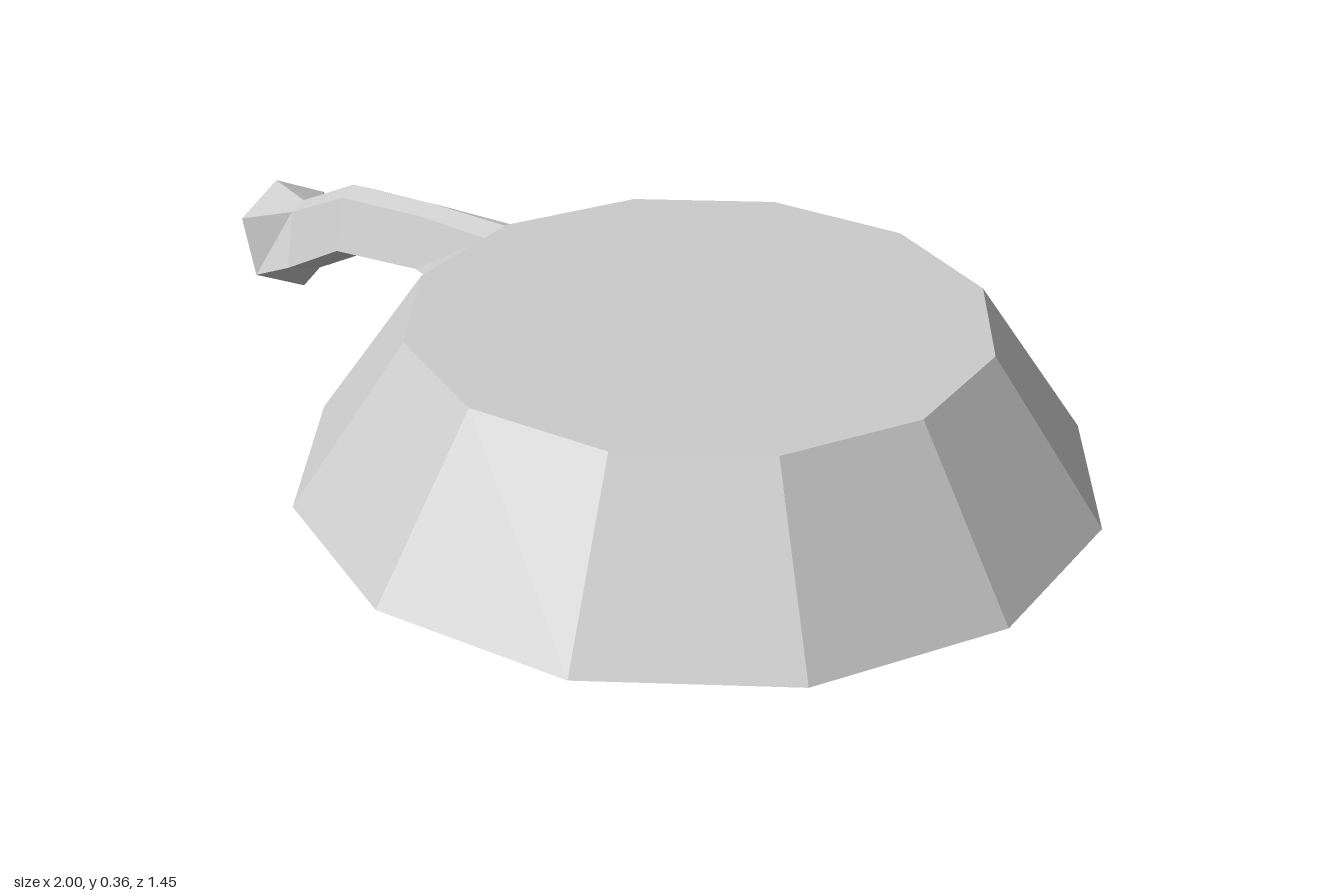
import * as THREE from 'three';

const material = new THREE.MeshStandardMaterial({ color: 0xcccccc, flatShading: true });

// Upturned bowl: closed wall profile turned in twelve flat sides
function createBowl() {
  const profile = [
    [0, 0.31], [0.51, 0.31], [0.675, 0.065],
    [0.725, 0.065], [0.52, 0.365], [0, 0.365],
  ].map(([r, y]) => new THREE.Vector2(r, y));
  const bowl = new THREE.Mesh(new THREE.LatheGeometry(profile, 12), material);
  bowl.name = 'bowl';
  bowl.position.x = 0.27;
  return bowl;
}

// Handle: six-sided sections joined from the flared tip to the bowl wall
function createHandle() {
  // each section: top [x, y], upper side [x, y, z], lower side [x, y, z], bottom [x, y]
  const sections = [
    [[-1.0, 0.22], [-0.98, 0.17, 0.105], [-0.94, 0.055, 0.105], [-0.92, 0.005]],
    [[-0.905, 0.205], [-0.9, 0.19, 0.035], [-0.87, 0.085, 0.072], [-0.86, 0.067]],
    [[-0.73, 0.295], [-0.72, 0.28, 0.035], [-0.7, 0.18, 0.07], [-0.69, 0.16]],
    [[-0.48, 0.335], [-0.47, 0.32, 0.033], [-0.45, 0.225, 0.065], [-0.44, 0.205]],
    [[-0.25, 0.362], [-0.26, 0.345, 0.042], [-0.33, 0.225, 0.085], [-0.35, 0.202]],
  ];
  const positions = [];
  for (const [top, upper, lower, bottom] of sections) {
    const mirror = ([x, y, z]) => [x, y, -z];
    positions.push(...top, 0, ...upper, ...lower, ...bottom, 0, ...mirror(lower), ...mirror(upper));
  }
  const index = [];
  const last = (sections.length - 1) * 6;
  for (let i = 0; i < last; i += 6) {
    for (let j = 0; j < 6; j++) {
      const a = i + j, b = i + (j + 1) % 6;
      index.push(a, b, a + 6, b, b + 6, a + 6);
    }
  }
  // end caps
  for (let j = 1; j < 5; j++) {
    index.push(0, j + 1, j, last, last + j, last + j + 1);
  }
  const geometry = new THREE.BufferGeometry();
  geometry.setAttribute('position', new THREE.Float32BufferAttribute(positions, 3));
  geometry.setIndex(index);
  geometry.computeVertexNormals();
  const handle = new THREE.Mesh(geometry, material);
  handle.name = 'handle';
  return handle;
}

export function createModel() {
  const group = new THREE.Group();
  group.name = 'upturnedPan';
  group.add(createBowl(), createHandle());
  return group;
}
